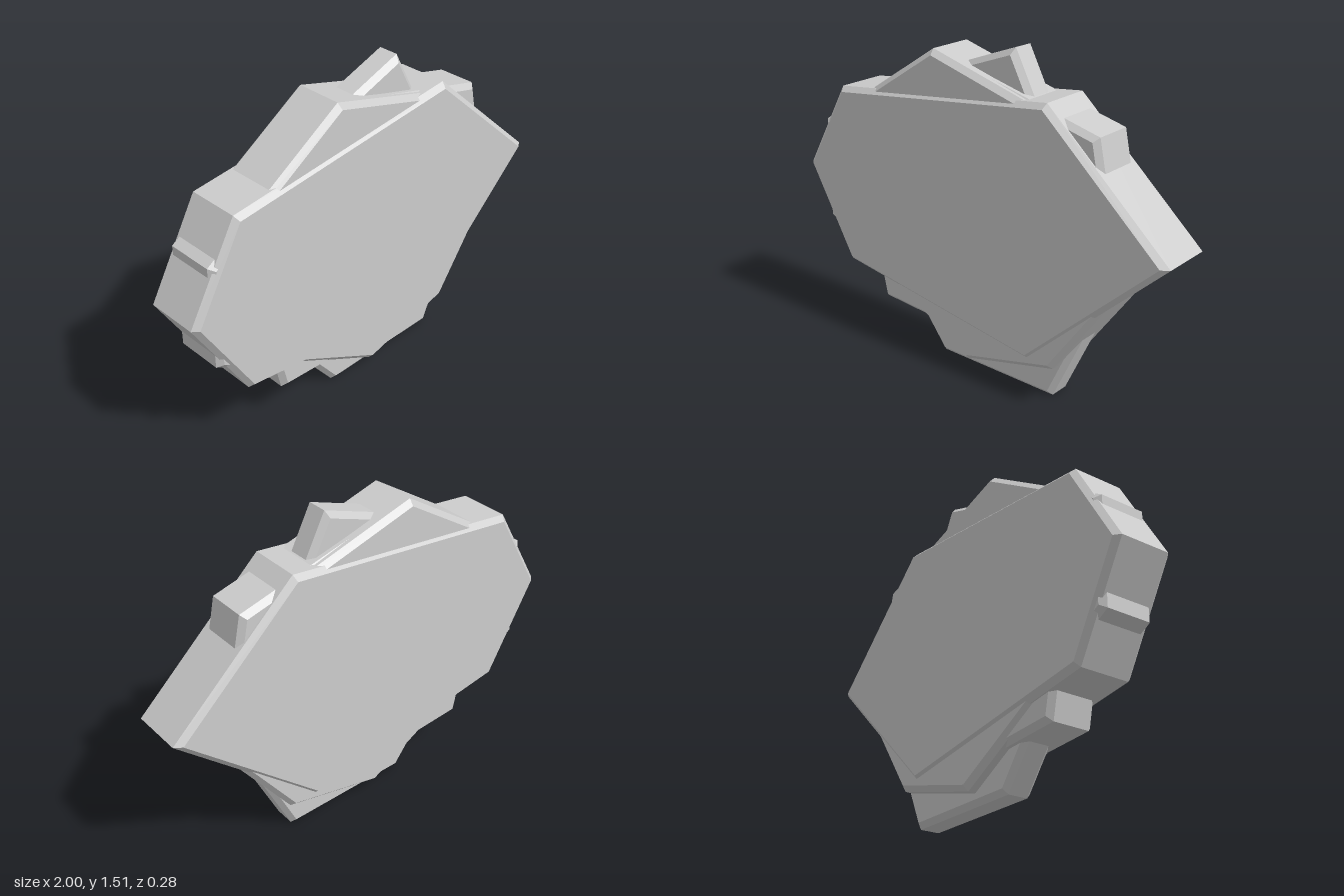
import * as THREE from 'three';

const BEVEL = 0.024;

// Bevelled polygon slab centred on z = 0; the outline is its widest section
function slab(name, points, halfDepth, material) {
  const shape = new THREE.Shape(points.map(([x, y]) => new THREE.Vector2(x, y)));
  const depth = 2 * (halfDepth - BEVEL);
  const geometry = new THREE.ExtrudeGeometry(shape, {
    depth,
    bevelEnabled: true,
    bevelThickness: BEVEL,
    bevelSize: BEVEL,
    bevelOffset: -BEVEL,
    bevelSegments: 1,
  });
  geometry.translate(0, 0, -depth / 2);
  const mesh = new THREE.Mesh(geometry, material);
  mesh.name = name;
  return mesh;
}

export function createModel() {
  const stone = new THREE.MeshStandardMaterial({ color: 0xcccccc });
  stone.name = 'pale grey stone';

  const model = new THREE.Group();
  model.name = 'stoneSlab';

  // Nested irregular slabs, each thinner and turned against the last
  model.add(
    slab('mainSlab', [
      [-1, 0.79], [-0.745, 0.345], [0.335, 0.18], [1, 0.798], [0.405, 1.34], [-0.76, 1.205],
    ], 0.142, stone),
    slab('secondSlab', [
      [-0.89, 0.535], [-0.02, 0.053], [0.455, 0.17], [0.8, 0.655],
      [0.4, 1.292], [-0.205, 1.462], [-0.89, 1.022],
    ], 0.13, stone),
    slab('thirdSlab', [
      [-0.545, 0.2], [0.3, 0.14], [0.75, 0.72], [0.64, 1.24], [-0.1, 1.427], [-0.66, 0.72],
    ], 0.112, stone),
    slab('innerSlab', [
      [-0.21, 0.005], [0.415, 0], [0.68, 0.577], [0.19, 1.515], [-0.4, 1.3], [-0.6, 0.51],
    ], 0.07, stone),
  );
  return model;
}
